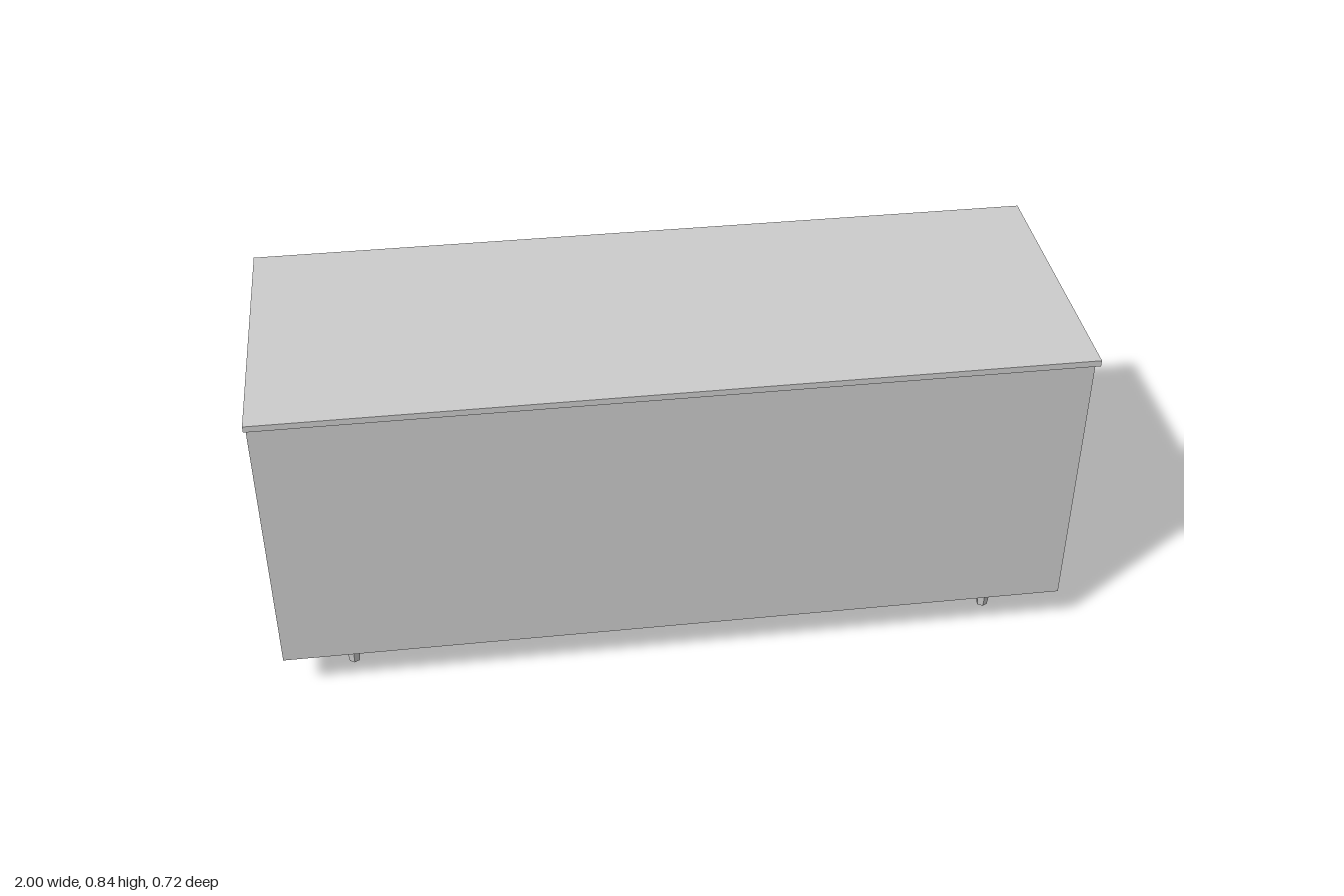
import * as THREE from 'three';

const material = new THREE.MeshStandardMaterial({ color: 0xcccccc, flatShading: true });

function add(parent, name, geometry, x = 0, y = 0, z = 0) {
  const mesh = new THREE.Mesh(geometry, material);
  mesh.name = name;
  mesh.position.set(x, y, z);
  parent.add(mesh);
  return mesh;
}

export function createModel() {
  const group = new THREE.Group();
  group.name = 'sideboard';

  const bottom = 0.107, bodyTop = 0.825, height = bodyTop - bottom;
  const left = 0.99, right = -0.995, front = 0.352, back = -0.358;
  const bayLeft = 0.495, bayRight = -0.505, doorZ = -0.345;

  // Cabinet body: floor plan with a shallow bay in the back, extruded upwards
  const plan = new THREE.Shape([
    [right, front], [left, front], [left, back], [bayLeft, back],
    [bayLeft, doorZ], [bayRight, doorZ], [bayRight, back], [right, back],
  ].map(([x, z]) => new THREE.Vector2(x, -z)));
  const body = new THREE.ExtrudeGeometry(plan, { depth: height, bevelEnabled: false });
  body.rotateX(-Math.PI / 2);
  add(group, 'body', body, 0, bottom, 0);

  // Worktop, overhanging slightly
  add(group, 'top', new THREE.BoxGeometry(2, 0.016, 0.724), 0, 0.833, 0);

  // Frame around two recessed door panels
  const rect = (Type, x0, x1, y0, y1) => new Type([
    new THREE.Vector2(x0, y0), new THREE.Vector2(x1, y0),
    new THREE.Vector2(x1, y1), new THREE.Vector2(x0, y1),
  ]);
  const frame = rect(THREE.Shape, bayRight, bayLeft, bottom, bodyTop - 0.002);
  for (const [x0, x1] of [[-0.488, -0.018], [0.008, 0.478]]) {
    frame.holes.push(rect(THREE.Path, x0, x1, bottom + 0.02, bodyTop - 0.02));
  }
  const frameBack = -0.36;
  add(group, 'doorFrame',
    new THREE.ExtrudeGeometry(frame, { depth: doorZ - frameBack, bevelEnabled: false }),
    0, 0, frameBack);

  // Four tapered hexagonal legs
  for (const x of [-0.828, 0.824]) {
    for (const z of [-0.262, 0.254]) {
      add(group, 'leg', new THREE.CylinderGeometry(0.0255, 0.0145, bottom, 6), x, bottom / 2, z);
    }
  }
  return group;
}
